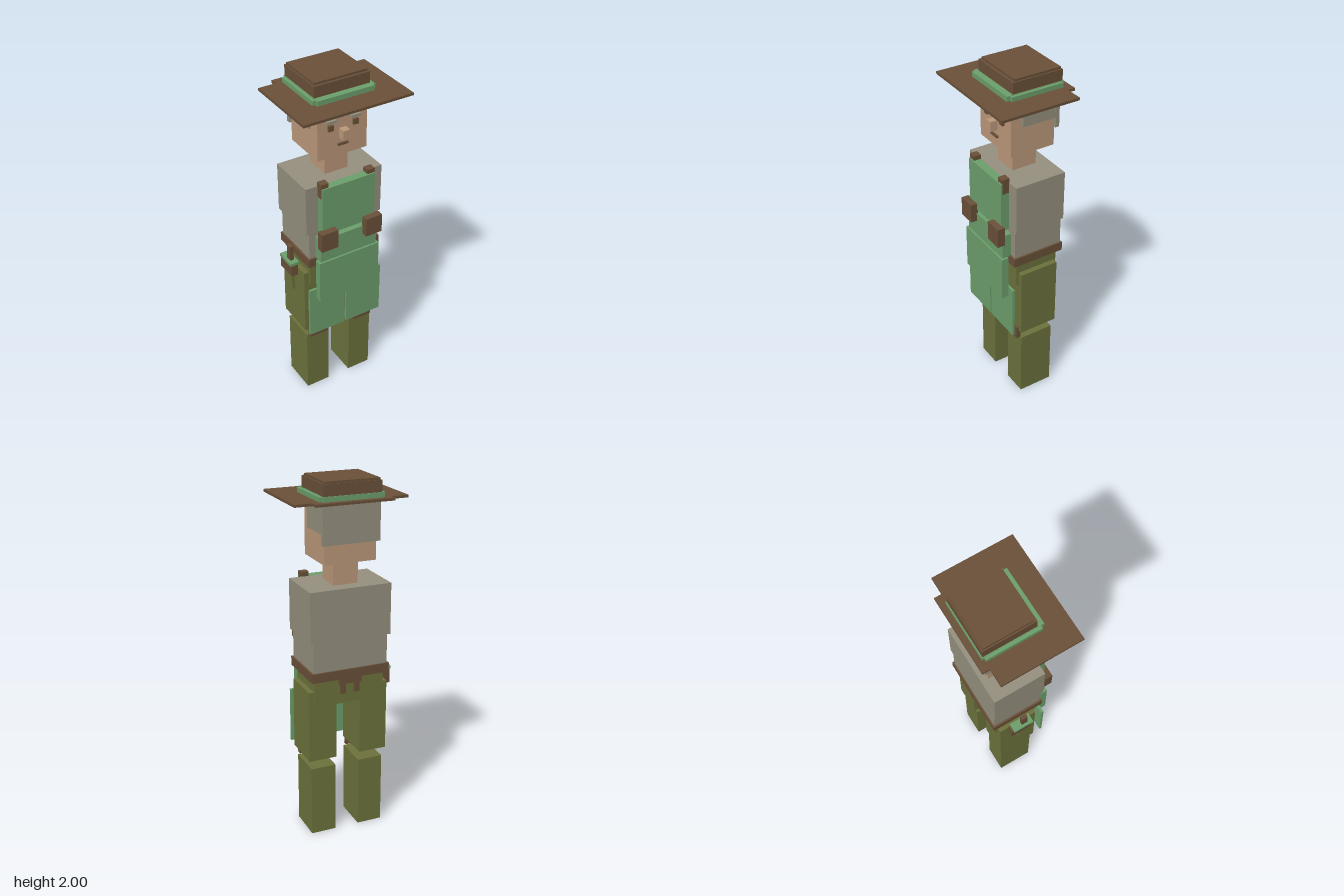
import * as THREE from 'three';

const material = (name, color) => {
  const m = new THREE.MeshStandardMaterial({ color });
  m.name = name;
  return m;
};

export function createModel() {
  const model = new THREE.Group();
  model.name = 'gardener';
  const leather = material('brown leather', 0x6b5139);
  const green = material('apron green', 0x6da06d);
  const olive = material('olive trousers', 0x6d733d);
  const grey = material('warm grey', 0x96917f);
  const skin = material('skin', 0xbd9a7b);

  // Box given by its min and max on each axis
  const box = (name, mat, x0, x1, y0, y1, z0, z1) => {
    const mesh = new THREE.Mesh(new THREE.BoxGeometry(x1 - x0, y1 - y0, z1 - z0), mat);
    mesh.position.set((x0 + x1) / 2, (y0 + y1) / 2, (z0 + z1) / 2);
    mesh.name = name;
    model.add(mesh);
  };
  // Box centred on x = 0
  const mid = (name, mat, w, ...yz) => box(name, mat, -w, w, ...yz);
  // Mirrored pair of boxes
  const pair = (name, mat, x0, x1, ...yz) => {
    box(name + 'Left', mat, x0, x1, ...yz);
    box(name + 'Right', mat, -x1, -x0, ...yz);
  };

  // Hat
  mid('hatBrim', leather, 0.313, 1.886, 1.9, -0.202, 0.241);
  mid('hatBrimBack', leather, 0.217, 1.886, 1.9, -0.243, -0.202);
  mid('hatBandSides', green, 0.18, 1.9, 1.925, -0.2, 0.1);
  mid('hatBandEnds', green, 0.164, 1.9, 1.927, -0.212, 0.118);
  mid('hatCrown', leather, 0.16, 1.925, 1.988, -0.207, 0.082);
  mid('hatTop', leather, 0.152, 1.988, 2.0, -0.2, 0.068);

  // Head and face
  mid('head', skin, 0.146, 1.57, 1.86, -0.175, 0.084);
  mid('neck', skin, 0.07, 1.44, 1.57, -0.118, 0.026);
  mid('hairTop', grey, 0.158, 1.86, 1.89, -0.19, 0.07);
  pair('hairSide', grey, 0.14, 0.158, 1.73, 1.886, -0.19, 0.02);
  mid('hairBack', grey, 0.16, 1.675, 1.886, -0.196, -0.172);
  pair('eye', leather, 0.058, 0.088, 1.727, 1.757, 0.08, 0.098);
  pair('brow', grey, 0.043, 0.1, 1.77, 1.784, 0.08, 0.1);
  mid('nose', skin, 0.02, 1.67, 1.726, 0.08, 0.126);
  mid('mouth', leather, 0.03, 1.63, 1.642, 0.08, 0.095);

  // Torso and belt
  mid('chest', grey, 0.231, 1.155, 1.44, -0.192, 0.105);
  mid('waist', grey, 0.214, 0.99, 1.155, -0.188, 0.101);
  mid('belt', leather, 0.224, 0.94, 0.992, -0.196, 0.111);

  // Apron with shoulder clips and pouches
  mid('apronBib', green, 0.16, 1.155, 1.44, 0.105, 0.152);
  pair('strapClip', leather, 0.118, 0.162, 1.38, 1.465, 0.102, 0.144);
  mid('apronWaist', green, 0.175, 0.985, 1.13, 0.101, 0.155);
  pair('pouch', leather, 0.087, 0.187, 1.08, 1.19, 0.147, 0.19);
  mid('apronLap', green, 0.188, 0.73, 0.988, 0.125, 0.166);
  pair('apronFlap', green, 0.006, 0.231, 0.475, 0.79, 0.112, 0.126);

  // Trousers and legs
  mid('hips', olive, 0.2, 0.79, 0.94, -0.172, 0.082);
  pair('thigh', olive, 0.07, 0.23, 0.465, 0.873, -0.16, 0.068);
  pair('shin', olive, 0.07, 0.214, 0, 0.408, -0.146, 0.056);
  pair('kneePad', leather, 0.086, 0.203, 0.41, 0.488, 0.056, 0.082);

  // Back buckle
  mid('buckleBar', leather, 0.065, 0.905, 0.94, -0.186, -0.172);
  pair('buckleTab', leather, 0.026, 0.054, 0.85, 0.905, -0.186, -0.172);

  // Tool in its sheath on the right hip
  box('sheath', leather, -0.275, -0.235, 0.835, 0.915, -0.11, 0.01);
  box('toolHandle', leather, -0.27, -0.248, 0.925, 1.02, -0.045, -0.01);
  box('toolGuard', green, -0.285, -0.232, 0.912, 0.93, -0.1, 0.02);
  box('toolBlade', olive, -0.268, -0.25, 0.735, 0.84, -0.065, 0);

  return model;
}
